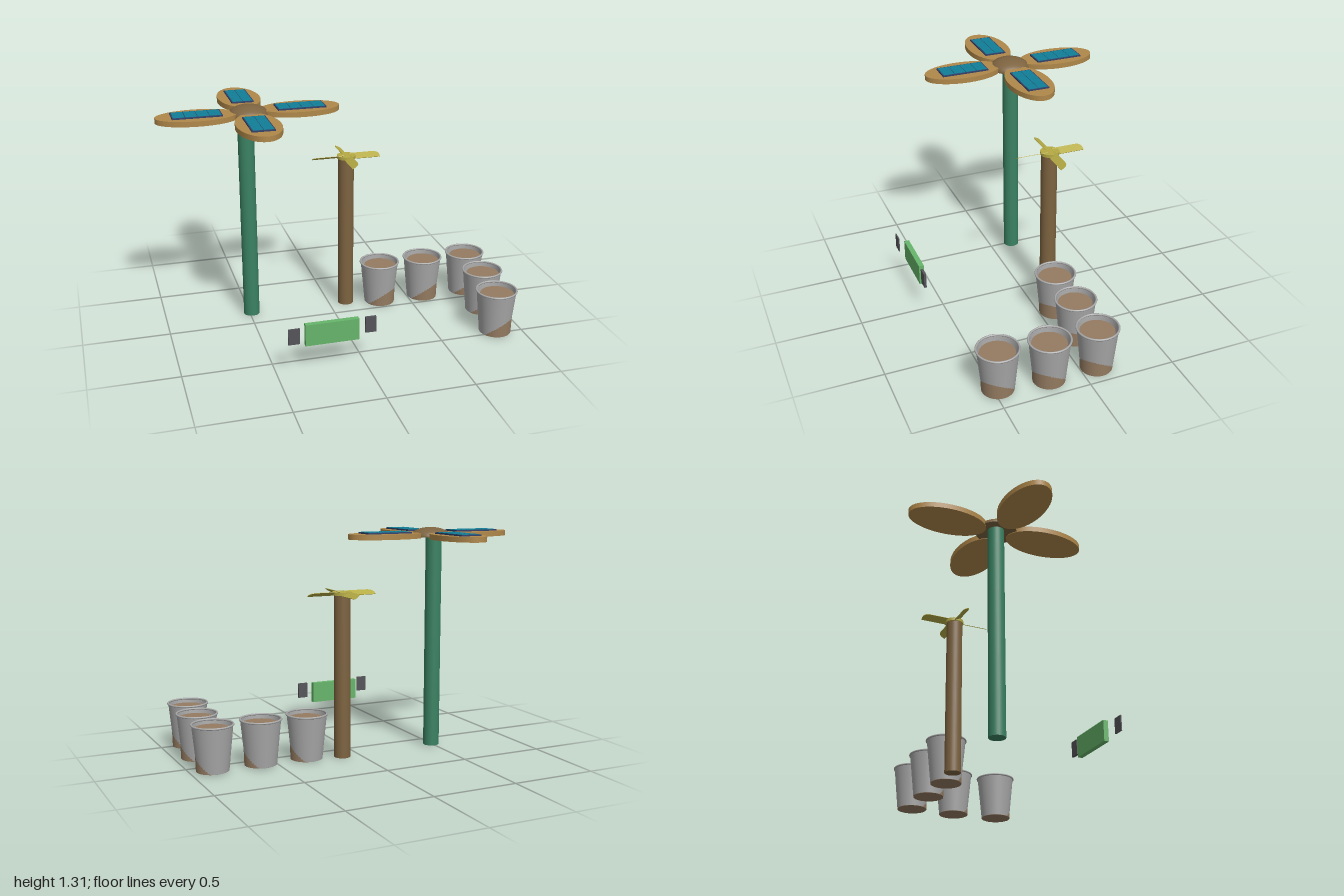
import * as THREE from 'three';

const mat = (color, side = THREE.FrontSide) => new THREE.MeshStandardMaterial({ color, side });
const M = {
  green: mat(0x3a8262), wood: mat(0x7d6340), petal: mat(0xb0884a), frame: mat(0x33406a),
  cell: mat(0x117f98), blade: mat(0xb5ab45, THREE.DoubleSide), cup: mat(0xa8a8a8, THREE.DoubleSide),
  soil: mat(0x947b61), sign: mat(0x67b56b), plate: mat(0x55555a),
};

function add(parent, name, geometry, material, x = 0, y = 0, z = 0) {
  const mesh = new THREE.Mesh(geometry, material);
  mesh.name = name;
  mesh.position.set(x, y, z);
  parent.add(mesh);
  return mesh;
}

function group(parent, name, x = 0, y = 0, z = 0, turn = 0) {
  const g = new THREE.Group();
  g.name = name;
  g.position.set(x, y, z);
  g.rotation.y = turn;
  parent.add(g);
  return g;
}

// Upright post between two heights
function post(parent, name, material, x, z, y0, y1) {
  add(parent, name, new THREE.CylinderGeometry(0.047, 0.047, y1 - y0, 32), material, x, (y0 + y1) / 2, z);
}

// Oval petal, long along local x, carrying a solar panel with a cell grid
function petal(parent, x, z, turn) {
  const g = group(parent, 'petal', x, 1.25, z, turn);
  const oval = new THREE.CylinderGeometry(1, 1, 0.03, 48);
  oval.scale(0.229, 1, 0.124);
  add(g, 'petalPlate', oval, M.petal, 0, 0.015, 0);
  add(g, 'panelFrame', new THREE.BoxGeometry(0.28, 0.008, 0.128), M.frame, 0, 0.034, 0);
  const nx = 4, nz = 2, w = 0.27 / nx, d = 0.118 / nz;
  for (let i = 0; i < nx; i++) {
    for (let j = 0; j < nz; j++) {
      add(g, 'solarCell', new THREE.BoxGeometry(w - 0.003, 0.002, d - 0.003), M.cell,
        (i - (nx - 1) / 2) * w, 0.0385, (j - (nz - 1) / 2) * d);
    }
  }
}

// Pitched blade pointing along local -z, its high edge rounded at the tip
function blade(parent, turn) {
  const g = group(parent, 'blade', 0, 0, 0, turn);
  const s = new THREE.Shape();
  s.moveTo(-0.024, 0.02);
  s.lineTo(-0.024, 0.165);
  s.quadraticCurveTo(-0.022, 0.203, 0.01, 0.203);
  s.lineTo(0.024, 0.203);
  s.lineTo(0.024, 0.02);
  s.closePath();
  const geo = new THREE.ExtrudeGeometry(s, { depth: 0.003, bevelEnabled: false, curveSegments: 8 });
  geo.translate(0, 0, -0.0015);
  geo.rotateX(-Math.PI / 2);
  geo.rotateZ(-0.5);
  add(g, 'bladePlate', geo, M.blade);
}

// Tapered pot with a rolled rim and slightly off-centre soil
function pot(parent, x, z) {
  const g = group(parent, 'pot', x, 0, z);
  add(g, 'potWall', new THREE.CylinderGeometry(0.115, 0.089, 0.26, 40, 1, true), M.cup, 0, 0.136, 0);
  const rim = new THREE.TorusGeometry(0.1155, 0.006, 8, 40);
  rim.rotateX(Math.PI / 2);
  add(g, 'potRim', rim, M.cup, 0, 0.266, 0);
  add(g, 'soil', new THREE.CylinderGeometry(0.0975, 0.0905, 0.24, 40), M.soil, 0.0036, 0.125, 0.0036);
}

export function createModel() {
  const root = new THREE.Group();
  root.name = 'solarGarden';

  // Solar flower
  const flower = group(root, 'solarFlower');
  post(flower, 'flowerStem', M.green, -0.489, -0.136, 0.005, 1.255);
  petal(flower, -0.771, -0.097, 0);
  petal(flower, -0.173, -0.128, 0);
  petal(flower, -0.473, -0.424, Math.PI / 2);
  petal(flower, -0.473, 0.172, Math.PI / 2);
  const dome = new THREE.SphereGeometry(1, 40, 12, 0, Math.PI * 2, 0, Math.PI / 2);
  dome.scale(0.117, 0.056, 0.117);
  add(flower, 'flowerDome', dome, M.wood, -0.473, 1.254, -0.126);
  const base = new THREE.CircleGeometry(0.117, 40);
  base.rotateX(Math.PI / 2);
  add(flower, 'domeBase', base, M.wood, -0.473, 1.254, -0.126);

  // Wind turbine
  const turbine = group(root, 'windTurbine');
  post(turbine, 'turbinePost', M.wood, 0.105, -0.136, 0, 0.945);
  const rotor = group(turbine, 'rotor', 0.107, 0.951, -0.138);
  add(rotor, 'rotorHub', new THREE.CylinderGeometry(0.055, 0.055, 0.018, 32), M.blade);
  for (let i = 0; i < 4; i++) blade(rotor, i * Math.PI / 2);

  // Pots in an L
  const pots = group(root, 'pots');
  for (const [x, z] of [[0.31, -0.095], [0.59, -0.095], [0.872, -0.095], [0.872, 0.187], [0.84, 0.47]]) {
    pot(pots, x, z);
  }

  // Sign board with two side plates
  add(root, 'signBoard', new THREE.BoxGeometry(0.302, 0.126, 0.03), M.sign, -0.188, 0.217, 0.611);
  add(root, 'rightPlate', new THREE.BoxGeometry(0.064, 0.093, 0.007), M.plate, -0.409, 0.235, 0.649);
  add(root, 'leftPlate', new THREE.BoxGeometry(0.061, 0.093, 0.014), M.plate, 0.029, 0.235, 0.619);

  return root;
}
